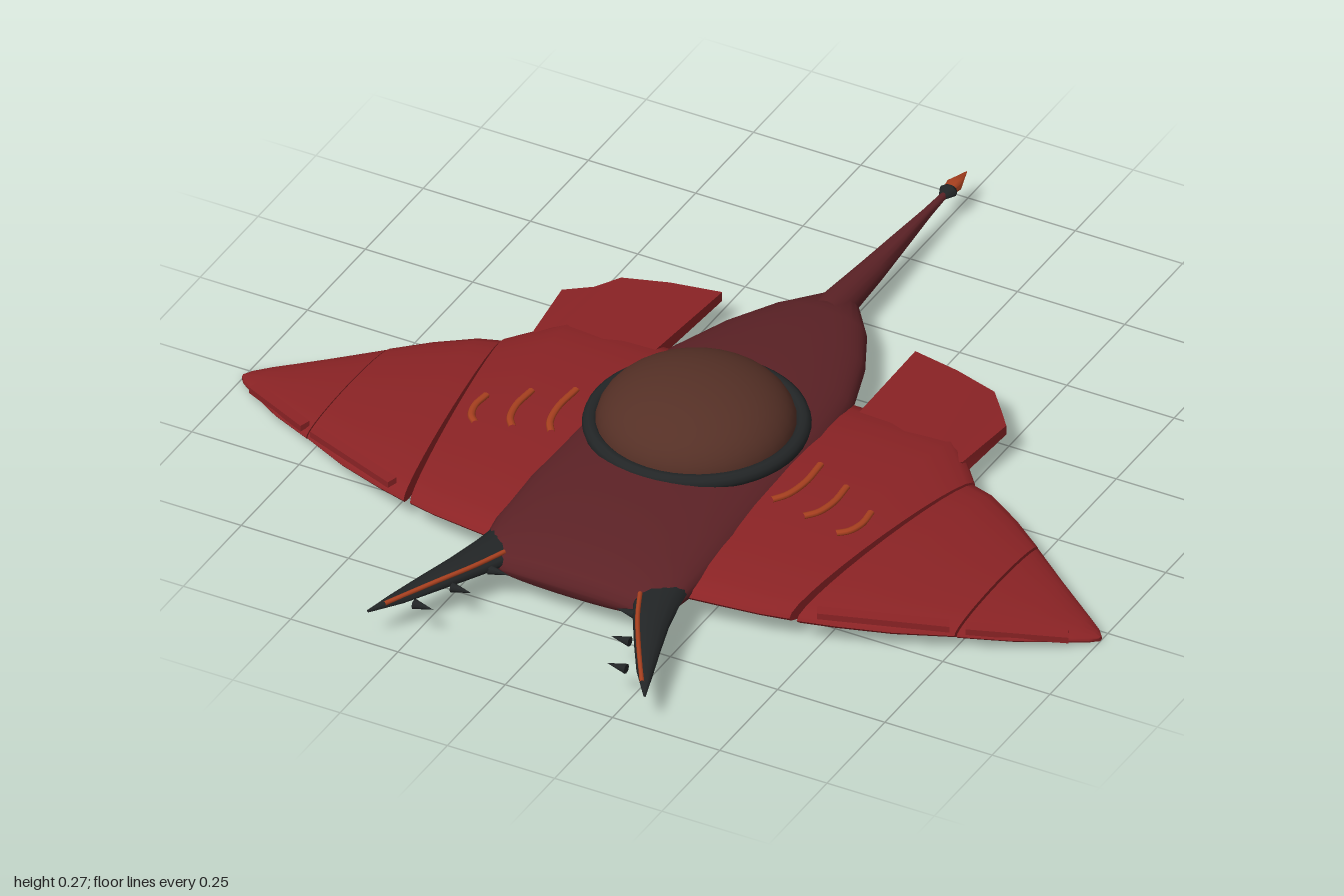
import * as THREE from 'three';
import { toCreasedNormals } from 'three/addons/utils/BufferGeometryUtils.js';

const V = (x, y, z) => new THREE.Vector3(x, y, z);
const lerp = THREE.MathUtils.lerp;

// Skin closed rings of equal length, cap both ends and face outwards
function loft(rings, crease = 0.7) {
  const n = rings[0].length, pts = rings.flat(), idx = [];
  for (let i = 0; i < rings.length - 1; i++) {
    for (let j = 0; j < n; j++) {
      const a = i * n + j, b = i * n + (j + 1) % n;
      idx.push(a, b, a + n, b, b + n, a + n);
    }
  }
  const last = (rings.length - 1) * n;
  for (let j = 1; j < n - 1; j++) idx.push(0, j + 1, j, last, last + j, last + j + 1);
  let volume = 0;
  for (let k = 0; k < idx.length; k += 3) {
    volume += pts[idx[k]].dot(V(0, 0, 0).crossVectors(pts[idx[k + 1]], pts[idx[k + 2]]));
  }
  if (volume < 0) idx.reverse();
  const g = new THREE.BufferGeometry().setFromPoints(pts);
  g.setIndex(idx);
  return toCreasedNormals(g, crease);
}

// Oval ring in the xy plane
function oval(cx, z, w, top, bottom, n = 28, power = 1) {
  const mid = (top + bottom) / 2, h = (top - bottom) / 2, ring = [];
  for (let j = 0; j < n; j++) {
    const a = j / n * Math.PI * 2, c = Math.cos(a), s = Math.sin(a);
    ring.push(V(cx + w * Math.sign(c) * Math.abs(c) ** power, mid + h * Math.sign(s) * Math.abs(s) ** power, z));
  }
  return ring;
}

// Lens-shaped wing rib from front point to back point
function rib(s, [xf, zf, xb, zb, top, bottom]) {
  const n = 14, ring = [], edge = lerp(bottom, top, 0.45);
  for (let j = 0; j < n * 2; j++) {
    const a = j / n * Math.PI, t = (1 - Math.cos(a)) / 2;
    const bulge = Math.sin(a), lim = bulge > 0 ? top - edge : edge - bottom;
    ring.push(V(s * lerp(xb, xf, t), edge + lim * Math.sign(bulge) * Math.abs(bulge) ** 0.9, lerp(zb, zf, t)));
  }
  return ring;
}

export function createModel() {
  const model = new THREE.Group();
  model.name = 'rayCraft';
  const mat = (name, color) => new THREE.MeshStandardMaterial({ name, color });
  const wingRed = mat('wing red', 0x8b2325), hullRed = mat('hull maroon', 0x5c2226);
  const dark = mat('charcoal', 0x222526), brown = mat('canopy brown', 0x553026);
  const orange = mat('ember orange', 0xa8401f);
  const add = (name, geometry, material, x = 0, y = 0, z = 0) => {
    const m = new THREE.Mesh(geometry, material);
    m.name = name;
    m.position.set(x, y, z);
    model.add(m);
    return m;
  };
  const tube = (pts, r) => new THREE.TubeGeometry(new THREE.CatmullRomCurve3(pts), 16, r, 8);

  // Hull: z, half width, top, bottom
  add('hull', loft([
    [-0.46, 0.03, 0.085, 0.05], [-0.44, 0.05, 0.1, 0.045], [-0.36, 0.11, 0.115, 0.04],
    [-0.25, 0.165, 0.13, 0.035], [-0.1, 0.215, 0.147, 0.025], [0.05, 0.235, 0.158, 0.018],
    [0.25, 0.243, 0.163, 0.013], [0.45, 0.245, 0.16, 0.015], [0.6, 0.24, 0.145, 0.022],
    [0.68, 0.228, 0.128, 0.035], [0.72, 0.2, 0.11, 0.05], [0.735, 0.15, 0.09, 0.065],
  ].map(([z, w, t, b]) => oval(0, z, w, t, b, 36, 0.85)), 1.1), hullRed);

  // Canopy and its rim
  const dome = new THREE.SphereGeometry(0.208, 32, 14, 0, Math.PI * 2, 0, Math.PI / 2);
  dome.scale(1, 0.56, 1);
  add('canopy', dome, brown, 0, 0.158, 0.175);
  const rim = new THREE.TorusGeometry(0.219, 0.017, 10, 48);
  rim.rotateX(Math.PI / 2);
  add('canopyRim', rim, dark, 0, 0.155, 0.172);

  // Tail and stinger
  add('tail', loft([
    [-0.39, 0.036, 0.115, 0.043], [-0.42, 0.039, 0.115, 0.04], [-0.58, 0.029, 0.1, 0.046],
    [-0.7, 0.02, 0.092, 0.053], [-0.82, 0.011, 0.083, 0.061], [-0.93, 0.006, 0.077, 0.066],
  ].map(([z, w, t, b]) => oval(0, z, w, t, b, 16)), 1), hullRed);
  add('stingerCollar', loft([[-0.89, 0.009], [-0.915, 0.02], [-0.93, 0.012]]
    .map(([z, w]) => oval(0, z, w, 0.071 + w * 0.7, 0.071 - w * 0.7, 12))), dark);
  add('stinger', loft([[-0.91, 0.012], [-0.94, 0.018], [-0.965, 0.01], [-0.995, 0.001]]
    .map(([z, w]) => oval(0, z, w, 0.071 + w * 0.75, 0.071 - w * 0.75, 12)), 1), orange);

  // Wing panels: front x, front z, back x, back z, top, bottom
  const panels = {
    InnerPanel: [
      [0.17, 0.645, 0.17, -0.13, 0.125, 0.035], [0.28, 0.63, 0.32, -0.13, 0.121, 0.034],
      [0.38, 0.612, 0.45, -0.13, 0.113, 0.032], [0.442, 0.592, 0.548, -0.015, 0.104, 0.03],
    ],
    MiddlePanel: [
      [0.458, 0.59, 0.55, -0.01, 0.101, 0.03], [0.53, 0.565, 0.6, 0.0, 0.094, 0.027],
      [0.64, 0.52, 0.68, 0.045, 0.081, 0.024], [0.754, 0.457, 0.754, 0.095, 0.065, 0.02],
    ],
    OuterPanel: [
      [0.758, 0.455, 0.758, 0.098, 0.062, 0.019], [0.86, 0.4, 0.85, 0.165, 0.045, 0.014],
      [0.95, 0.335, 0.95, 0.235, 0.028, 0.007], [0.985, 0.305, 0.985, 0.258, 0.018, 0.003],
      [0.998, 0.287, 1.0, 0.275, 0.012, 0.002],
    ],
  };

  for (const [s, side] of [[1, 'left'], [-1, 'right']]) {
    for (const [name, ribs] of Object.entries(panels)) {
      add(side + name, loft(ribs.map(r => rib(s, r))), wingRed);
    }

    // Folded flap behind the wing root: x, front z, back x, back z, front y, back y
    add(side + 'RearFlap', loft([
      [0.245, 0.08, 0.225, -0.355, 0.092, 0.074], [0.36, 0.08, 0.335, -0.332, 0.09, 0.076],
      [0.44, 0.06, 0.435, -0.308, 0.083, 0.07], [0.47, 0.0, 0.475, -0.265, 0.074, 0.06],
      [0.5, -0.05, 0.518, -0.205, 0.07, 0.075],
    ].map(([xf, zf, xb, zb, yf, yb]) => [
      V(s * xf, yf + 0.014, zf), V(s * xb, yb + 0.011, zb),
      V(s * xb, yb - 0.011, zb), V(s * xf, yf - 0.02, zf),
    ]), 0.5), wingRed);

    // Slats on the leading edge: start x, y, z then end x, y, z
    for (const [x1, y1, z1, x2, y2, z2] of [
      [0.5, 0.081, 0.58, 0.745, 0.056, 0.462], [0.775, 0.051, 0.447, 0.955, 0.022, 0.337],
    ]) {
      const box = (x, y, z) => [V(s * x, y - 0.007, z), V(s * x, y + 0.007, z),
        V(s * (x - 0.01), y + 0.011, z - 0.02), V(s * (x - 0.01), y - 0.003, z - 0.02)];
      add(side + 'Slat', loft([box(x1, y1, z1), box(x2, y2, z2)], 0.4), wingRed);
    }

    // Curved gills: inner x, y, start z, end z
    for (const [x, y, z1, z2] of [[0.265, 0.138, 0.165, 0.325], [0.347, 0.133, 0.205, 0.34], [0.428, 0.123, 0.25, 0.35]]) {
      const path = [V(s * (x + 0.02), y, z1), V(s * (x + 0.023), y, lerp(z1, z2, 0.45)),
        V(s * (x + 0.012), y, lerp(z1, z2, 0.8)), V(s * (x - 0.008), y, z2)];
      const g = tube(path, 0.008);
      g.translate(0, -y, 0).scale(1, 0.75, 1).translate(0, y, 0);
      add(side + 'Gill', g, orange);
    }

    // Mandible: x, z, half width, y, half height
    add(side + 'Mandible', loft([
      [0.175, 0.63, 0.055, 0.088, 0.024], [0.185, 0.69, 0.054, 0.088, 0.023],
      [0.215, 0.77, 0.042, 0.087, 0.02], [0.25, 0.85, 0.031, 0.085, 0.016],
      [0.287, 0.93, 0.019, 0.081, 0.011], [0.322, 0.995, 0.003, 0.077, 0.003],
    ].map(([x, z, w, y, h]) => oval(s * x, z, w, y + h, y - h, 14)), 0.9), dark);
    add(side + 'MandibleStripe', tube([V(s * 0.158, 0.106, 0.71), V(s * 0.19, 0.103, 0.78),
      V(s * 0.235, 0.098, 0.86), V(s * 0.3, 0.085, 0.965)], 0.005), orange);

    // Small teeth pointing inwards
    for (const [x, z] of [[0.148, 0.752], [0.185, 0.845], [0.225, 0.935]]) {
      const tooth = new THREE.ConeGeometry(0.011, 0.045, 8);
      tooth.rotateZ(s * Math.PI / 2);
      add(side + 'Tooth', tooth, dark, s * x, 0.083, z);
    }
  }
  return model;
}
